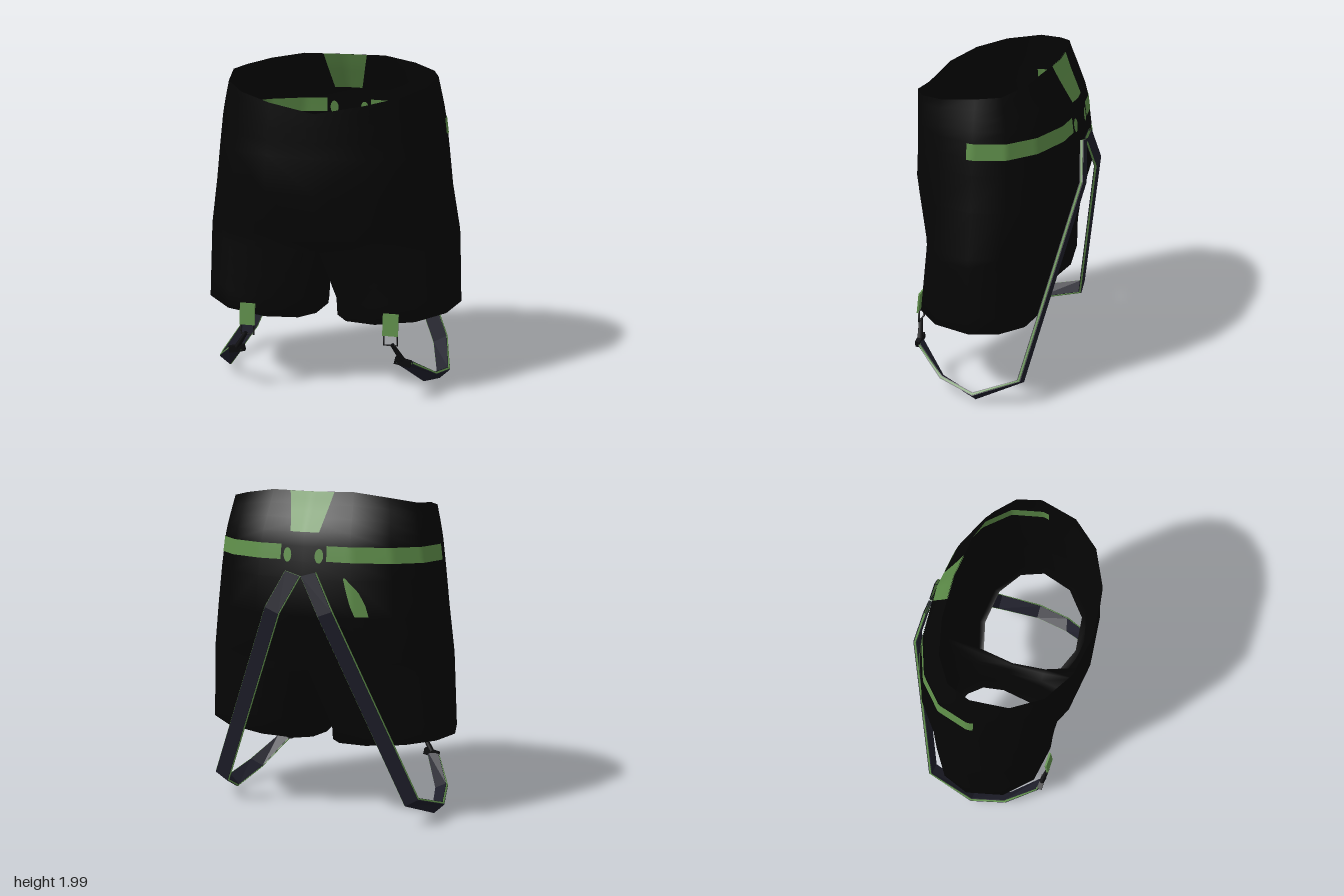
import * as THREE from 'three';
import { mergeGeometries, mergeVertices } from 'three/addons/utils/BufferGeometryUtils.js';

const { lerp, clamp } = THREE.MathUtils;
const N = 8;       // columns from front centre round one side to back centre
const INNER = 4;   // columns along the crotch, back to front
const P = 1 / 1.1; // roundness of the torso section

// height, half width, front depth, back depth
const LEVELS = [
  [2.00, .62, .52, .31], [1.92, .64, .52, .345], [1.77, .675, .52, .42], [1.69, .69, .52, .44],
  [1.50, .715, .52, .465], [1.28, .74, .53, .48], [1.00, .79, .46, .40], [.80, .805, .45, .37],
];
// rim height for each column
const RIM = [1.77, 1.82, 1.86, 1.895, 1.93, 1.94, 1.97, 2, 1.998];
// position down the leaf, near edge, far edge
const LEAF = [[0, .25, .262], [.35, .27, .34], [.7, .295, .38], [1, .325, .40]];
// share of the half width for each column, from the back to the side
const BACK = Array.from({ length: N / 2 + 1 }, (_, i) =>
  [Math.pow(Math.sin(Math.PI * i / N), P), Math.PI * (1 - i / N)]);

function lookup(table, v, col = 1) {
  const up = table[0][0] < table[1][0];
  for (let i = 1; i < table.length; i++) {
    const a = table[i - 1], b = table[i];
    if ((up ? v <= b[0] : v >= b[0]) || i === table.length - 1) {
      return lerp(a[col], b[col], clamp((v - a[0]) / (b[0] - a[0]), 0, 1));
    }
  }
}

// Point on the faceted torso; t runs from 0 at the front to PI at the back
function torso(t, y, s = 1, swell = 1) {
  const corner = i => {
    const a = Math.PI * i / N, c = Math.cos(a);
    return [
      lookup(LEVELS, y) * Math.pow(Math.abs(Math.sin(a)), P),
      lookup(LEVELS, y, c > 0 ? 2 : 3) * Math.sign(c) * Math.pow(Math.abs(c), P),
    ];
  };
  const k = t * N / Math.PI, i = Math.min(Math.floor(k), N - 1);
  const a = corner(i), b = corner(i + 1);
  return [s * swell * lerp(a[0], b[0], k - i), y, swell * lerp(a[1], b[1], k - i)];
}

function grid(rows, flip) {
  const w = rows[0].length, index = [];
  for (let r = 0; r < rows.length - 1; r++) for (let c = 0; c < w - 1; c++) {
    const a = r * w + c, b = a + 1, d = a + w, e = d + 1;
    index.push(...(flip ? [a, b, d, b, e, d] : [a, d, b, b, d, e]));
  }
  const g = new THREE.BufferGeometry();
  g.setAttribute('position', new THREE.Float32BufferAttribute(rows.flat(2), 3));
  g.setIndex(index);
  return g;
}

// One half of the waist section
function torsoHalf(s) {
  const heights = [1.69, 1.6, 1.5, 1.28, 1.0, .95];
  const rows = [];
  for (let r = 0; r < 4 + heights.length; r++) {
    rows.push(RIM.map((rim, i) =>
      torso(Math.PI * i / N, r < 4 ? lerp(rim, 1.69, r / 4) : heights[r - 4], s)));
  }
  return grid(rows, s < 0);
}

// One leg, from the waist section and crotch curve to the hem and its turned-in lip
function leg(s) {
  const rows = [];
  const start = -41 * Math.PI / 180, end = Math.PI - start;
  const soft = v => Math.sign(v) * Math.pow(Math.abs(v), .8);
  for (const g of [0, .08, .25, .5, .75, 1, 'lip']) {
    const row = [];
    for (let i = 0; i <= N + INNER; i++) {
      const inner = i > N, k = (i - N) / INNER;
      const a = inner ? lerp(end, 2 * Math.PI + start, k) : lerp(start, end, i / N);
      const sn = Math.sin(a), cs = sn < 0 ? soft(Math.cos(a)) : Math.cos(a);
      const x = .425 + .385 * (sn < 0 ? soft(sn) : sn);
      const hem = [x, .45 + .08 * (x - .04) / .77, cs * (cs > 0 ? .42 : .31)];
      if (g === 'lip') {
        row.push([s * lerp(.425, hem[0], .95), hem[1] + .01, hem[2] * .88]);
        continue;
      }
      let top = torso(Math.PI * Math.min(i, N) / N, .95);
      if (inner) {
        const front = torso(0, .95)[2];
        top = [0, .83 + .12 * Math.pow(2 * k - 1, 2), lerp(top[2], front, k)];
      }
      const gx = inner ? Math.pow(g, .2) : g;
      row.push([s * lerp(top[0], hem[0], gx), lerp(top[1], hem[1], g), lerp(top[2], hem[2], g)]);
    }
    rows.push(row);
  }
  return grid(rows, s < 0);
}

// Thin painted panel on both faces of the cloth; at(u, v) gives [angle, height, side]
function panel(at, nu, nv) {
  const faces = [1.007, .993].map(swell => {
    const rows = [];
    for (let j = 0; j <= nv; j++) {
      const row = [];
      for (let i = 0; i <= nu; i++) {
        const [t, y, s] = at(i / nu, j / nv);
        row.push(torso(t, y, s, swell));
      }
      rows.push(row);
    }
    return grid(rows, at(.5, .5)[2] < 0);
  });
  const g = mergeGeometries(faces);
  g.computeVertexNormals();
  return g;
}

// Back of the torso addressed by x and height
function backAt(x, y) {
  return [lookup(BACK, Math.abs(x) / lookup(LEVELS, y)), y, x < 0 ? -1 : 1];
}

// Flat band swept along points, each with its own width direction
function ribbon(points, widths, wide, thick) {
  const rows = points.map((p, i) => {
    const tan = points[Math.min(i + 1, points.length - 1)].clone().sub(points[Math.max(i - 1, 0)]);
    const w = widths[i].clone().multiplyScalar(wide);
    const n = tan.cross(widths[i]).normalize().multiplyScalar(thick / 2);
    return [[1, 1], [-1, 1], [-1, -1], [1, -1], [1, 1]].map(([a, b]) =>
      p.clone().addScaledVector(w, a).addScaledVector(n, b).toArray());
  });
  const g = grid(rows, false).toNonIndexed();
  g.computeVertexNormals();
  return g;
}

export function createModel() {
  const model = new THREE.Group();
  const mat = (name, color) => {
    const m = new THREE.MeshStandardMaterial({ color, side: THREE.DoubleSide });
    m.name = name;
    return m;
  };
  const cloth = mat('black cloth', 0x050505);
  const green = mat('green trim', 0x5f8f4a);
  const navy = mat('navy webbing', 0x1e1e2a);
  const metal = mat('dark metal', 0x0b0b0d);
  const add = (name, geometry, material, parent = model) => {
    const m = new THREE.Mesh(geometry, material);
    m.name = name;
    parent.add(m);
    return m;
  };

  // Shorts
  const shell = mergeVertices(mergeGeometries([torsoHalf(1), torsoHalf(-1), leg(1), leg(-1)]), 1e-4);
  shell.computeVertexNormals();
  add('shorts', shell, cloth);

  // Green panels: waist patch, side bands, ovals and leaf
  add('backPatch', panel((u, v) => backAt(
    lerp(1, -1, u) * lerp(.14, .09, v), lerp(1.998, 1.77, v)), 8, 6), green);
  for (const s of [1, -1]) {
    add('waistBand', panel((u, v) => [
      lerp(86.5, 168.8, u) * Math.PI / 180, lerp(lerp(1.685, 1.695, u), lerp(1.59, 1.605, u), v), s], 40, 3), green);
    add('backOval', panel((u, v) => backAt(
      s * (.1 + .026 * (1 - 2 * u) * Math.sin(Math.PI * v)), 1.635 + .042 * Math.cos(Math.PI * v)), 4, 10), green);
  }
  add('backLeaf', panel((u, v) => backAt(
    -lerp(lookup(LEAF, v, 2), lookup(LEAF, v, 1), u), lerp(1.515, 1.29, v)), 6, 10), green);

  // Suspender straps with clips, one each side
  const V = (x, y, z) => new THREE.Vector3(x, y, z);
  for (const s of [1, -1]) {
    const side = new THREE.Group();
    side.name = s > 0 ? 'leftSuspender' : 'rightSuspender';
    model.add(side);
    const path = [V(s * .05, 1.53, -.475), V(s * .17, 1.31, -.51), V(s * .645, .165, s > 0 ? -.275 : -.305),
      V(s * .71, .045, 0), V(s * .655, .105, .23), V(s * .53, .26, .42)];
    const widths = [V(s * .045, .013, 0), V(s * .043, .017, 0), V(s * .041, .025, 0),
      V(s * .033, .032, 0), V(s * .038, .022, -.01), V(s * .045, -.005, -.015)];
    add('strap', ribbon(path, widths, 1, .022), navy, side);
    add('strapPiping', ribbon(path, widths, 1.08, .011), green, side);

    const tab = add('hemTab', new THREE.BoxGeometry(.095, .135, .012), green, side);
    tab.position.set(s * .445, .495, .436);
    tab.rotation.x = -.12;

    const ring = add('squareRing', new THREE.TorusGeometry(.05, .006, 6, 4).rotateZ(Math.PI / 4), metal, side);
    ring.position.set(s * .447, .402, .437);
    ring.scale.x = 1.15;

    const from = V(s * .455, .375, .437), to = V(s * .52, .27, .42);
    const dir = to.clone().sub(from);
    const hook = add('hook', new THREE.CylinderGeometry(.018, .012, dir.length(), 8), metal, side);
    hook.position.copy(from).addScaledVector(dir, .5);
    hook.quaternion.setFromUnitVectors(V(0, 1, 0), dir.clone().normalize());

    const buckle = add('buckle', new THREE.BoxGeometry(.1, .04, .03), metal, side);
    buckle.position.set(s * .52, .26, .42);
    buckle.rotation.z = -s * .2;
  }
  return model;
}
